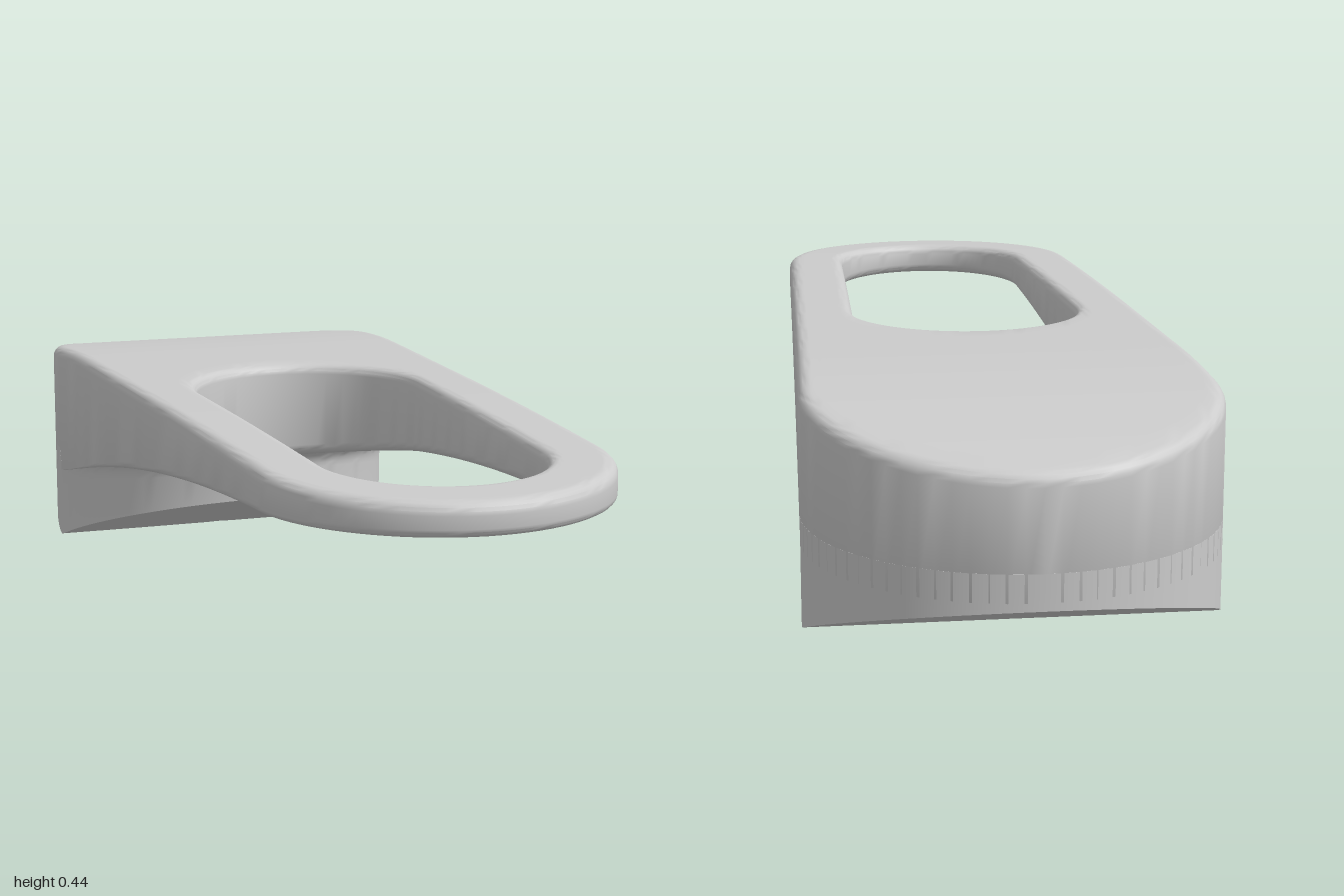
import * as THREE from 'three';
import { toCreasedNormals } from 'three/addons/utils/BufferGeometryUtils.js';

const HUB_Z = -0.63, HUB_R = 0.37;

// Height of the upper and lower faces of the lever along z
const topY = z => 0.436 - 0.02 * Math.max(0, z) ** 2 - 0.2 * Math.max(0, -0.4 - z) ** 2;
const underY = z => Math.max(0.15, 0.357 - 0.08 * (1 - z) ** 2);
// Shallow V on the underside of the hub
const veeY = z => Math.hypot(z - HUB_Z, 0.008) * 0.378 - 0.003;

// Tapered stadium: two arcs joined by tangents, as points with outward normals
function stadium(backR, backZ, frontR, frontZ, arc = 40, line = 24) {
  const t = Math.acos((backR - frontR) / (frontZ - backZ));
  const pts = [];
  const at = (r, z, a) => ({ x: r * Math.sin(a), z: z + r * Math.cos(a), nx: Math.sin(a), nz: Math.cos(a) });
  const addArc = (r, z, a0, a1) => {
    for (let i = 0; i <= arc; i++) pts.push(at(r, z, a0 + (a1 - a0) * i / arc));
  };
  const addLine = (r0, z0, r1, z1, a) => {
    for (let i = 1; i < line; i++) {
      const k = i / line;
      pts.push(at(r0 + (r1 - r0) * k, z0 + (z1 - z0) * k, a));
    }
  };
  addArc(frontR, frontZ, -t, t);
  addLine(frontR, frontZ, backR, backZ, t);
  addArc(backR, backZ, t, 2 * Math.PI - t);
  addLine(backR, backZ, frontR, frontZ, -t);
  return pts;
}

// Skin between closed loops of equal length
function loft(rows, closed) {
  const n = rows[0].length, index = [];
  const last = closed ? rows.length : rows.length - 1;
  for (let i = 0; i < last; i++) {
    for (let j = 0; j < n; j++) {
      const a = i * n + j, b = i * n + (j + 1) % n;
      const up = (i + 1) % rows.length * n;
      const c = up + (j + 1) % n, d = up + j;
      index.push(a, b, c, a, c, d);
    }
  }
  const geo = new THREE.BufferGeometry();
  geo.setAttribute('position', new THREE.Float32BufferAttribute(rows.flat(2), 3));
  geo.setIndex(index);
  return toCreasedNormals(geo, 0.5);
}

// Lever plate: rounded section swept around between outline and slot
function leverGeometry() {
  const outer = stadium(HUB_R, HUB_Z, 0.32, 0.68);
  const slot = stadium(0.225, 0.025, 0.2, 0.68);
  const STEPS = 5, SPAN = 16;

  const section = (o, h) => {
    const out = [];
    const fade = THREE.MathUtils.smoothstep(o.z, -0.6, -0.1);
    const edge = (p, side, f, a, top) => {
      const d = side * f * (1 - Math.cos(a));
      const x = p.x - p.nx * d, z = p.z - p.nz * d;
      const lift = f * (1 - Math.sin(a));
      return [x, top ? topY(z) - lift : underY(z) + lift, z];
    };
    const corner = (p, side, f, top, rising) => {
      for (let i = 0; i <= STEPS; i++) {
        const a = Math.PI / 2 * (rising ? i : STEPS - i) / STEPS;
        out.push(edge(p, side, f, a, top));
      }
    };
    const span = (p, q, height) => {
      for (let i = 1; i < SPAN; i++) {
        const x = p[0] + (q[0] - p[0]) * i / SPAN, z = p[2] + (q[2] - p[2]) * i / SPAN;
        out.push([x, height(z), z]);
      }
    };
    const f = 0.001 + 0.014 * fade;
    corner(o, 1, f, false, false);
    corner(o, 1, 0.022, true, true);
    span(out.at(-1), edge(h, -1, 0.02, Math.PI / 2, true), topY);
    corner(h, -1, 0.02, true, false);
    corner(h, -1, 0.02, false, true);
    span(out.at(-1), out[0], underY);
    return out;
  };

  const sections = outer.map((o, j) => section(o, slot[j]));
  const rows = sections[0].map((_, i) => sections.map(s => s[i]));
  return loft(rows, true);
}

// Hub: round block with a V underside, flared where it meets the lever
function hubGeometry() {
  const N = 128, rows = [];
  const ring = fn => rows.push(Array.from({ length: N }, (_, j) => fn(j / N * 2 * Math.PI)));
  const point = (r, a, y) => {
    const z = HUB_Z + r * Math.cos(a);
    return [r * Math.sin(a), y(z), z];
  };
  for (let i = 0; i <= 12; i++) ring(a => point(HUB_R * i / 12, a, veeY));
  for (let i = 0; i <= 6; i++) {
    const t = Math.PI / 2 * i / 6;
    ring(a => {
      const front = Math.max(0, Math.cos(a)) ** 2;
      const r = HUB_R + 0.035 * front * (1 - Math.cos(t));
      const drop = 0.035 * (1 - Math.sin(t));
      return point(r, a, z => (z < HUB_Z + 0.001 ? 0.2 : underY(z) + 0.003) - drop);
    });
  }
  ring(() => [0, 0.3, HUB_Z]);
  return loft(rows, false);
}

export function createModel() {
  const model = new THREE.Group();
  model.name = 'leverHandle';
  const material = new THREE.MeshStandardMaterial({ color: 0xcccccc });
  const add = (name, geometry) => {
    const mesh = new THREE.Mesh(geometry, material);
    mesh.name = name;
    model.add(mesh);
  };
  add('slottedLever', leverGeometry());
  add('hub', hubGeometry());
  return model;
}
